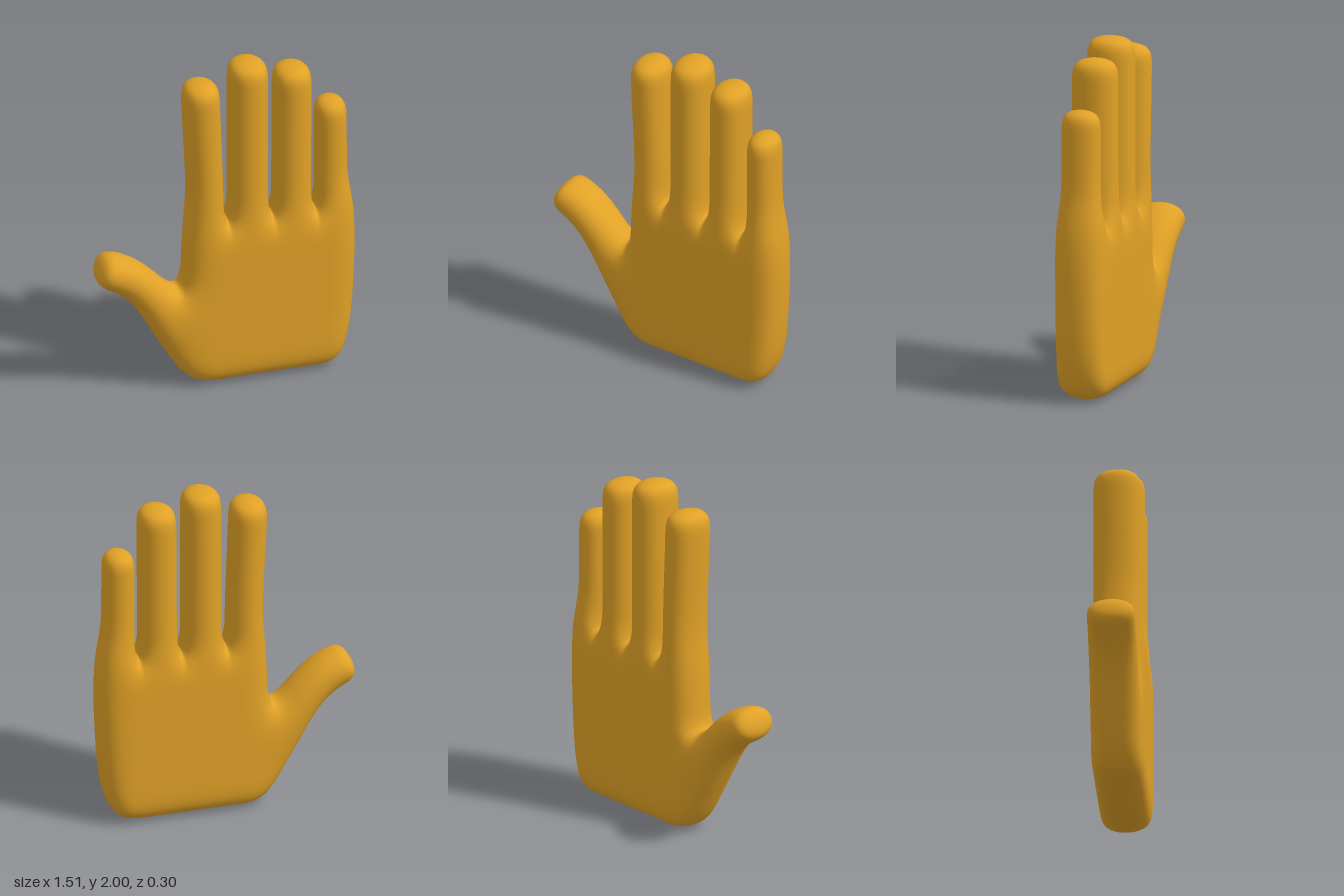
import * as THREE from 'three';

// One round of Catmull-Clark smoothing on a closed quad cage; each face keeps its part name
function smooth({ points, faces }) {
  const count = points.length;
  const out = points.map(() => new THREE.Vector3());
  const faceSum = points.map(() => new THREE.Vector3());
  const edgeSum = points.map(() => new THREE.Vector3());
  const valence = new Array(count).fill(0);
  const edges = new Map();
  const edgeOf = (a, b) => edges.get(Math.min(a, b) * count + Math.max(a, b));

  const centres = faces.map(({ v, part }) => {
    const c = new THREE.Vector3();
    v.forEach((i) => c.addScaledVector(points[i], 0.25));
    v.forEach((a, k) => {
      const b = v[(k + 1) % 4];
      const key = Math.min(a, b) * count + Math.max(a, b);
      if (!edges.has(key)) edges.set(key, { a, b, sum: new THREE.Vector3() });
      edges.get(key).sum.add(c);
      faceSum[a].add(c);
      valence[a]++;
    });
    return out.push(c) - 1;
  });

  for (const e of edges.values()) {
    const ends = points[e.a].clone().add(points[e.b]);
    edgeSum[e.a].addScaledVector(ends, 0.5);
    edgeSum[e.b].addScaledVector(ends, 0.5);
    e.id = out.push(ends.add(e.sum).multiplyScalar(0.25)) - 1;
  }

  points.forEach((p, i) => {
    const n = valence[i];
    out[i].copy(p).multiplyScalar((n - 3) / n)
      .addScaledVector(faceSum[i], 1 / (n * n))
      .addScaledVector(edgeSum[i], 2 / (n * n));
  });

  const next = [];
  faces.forEach(({ v, part }, f) => v.forEach((a, k) => {
    const after = edgeOf(a, v[(k + 1) % 4]).id;
    const before = edgeOf(v[(k + 3) % 4], a).id;
    next.push({ v: [a, after, centres[f], before], part });
  }));
  return { points: out, faces: next };
}

// Flat outline of quads, given thickness and closed with side walls
function buildCage() {
  const points = [];
  const quads = [];
  const node = (x, y, z = 0.15) => {
    points.push(new THREE.Vector3(x, y, z), new THREE.Vector3(x, y, -z));
    return points.length / 2 - 1;
  };
  const quad = (part, ...v) => quads.push({ part, v });

  // Palm: rows from wrist to knuckles, narrow columns lie below the finger gaps
  const inner = [-0.006, 0.01, 0.255, 0.273, 0.507, 0.522];
  const rows = [
    // left x, left y, inner y, right x, right y
    [-0.22, -0.015, -0.008, 0.65, 0.01],
    [-0.365, 0.2, 0.2, 0.735, 0.2],
    [-0.262, 0.575, 0.575, 0.757, 0.575],
    [-0.257, 0.77, 0.79, 0.765, 0.79],
    [-0.243, 1.02, 1.02, 0.755, 1.02],
  ].map(([lx, ly, y, rx, ry]) => [node(lx, ly), ...inner.map((x) => node(x, y)), node(rx, ry)]);
  for (let r = 0; r < rows.length - 1; r++) {
    for (let c = 0; c < 7; c++) {
      quad('palm', rows[r][c], rows[r][c + 1], rows[r + 1][c + 1], rows[r + 1][c]);
    }
  }

  // Fingers: base and tip side positions, cage top and half depth
  const knuckles = rows[4];
  [
    ['indexFinger', [-0.224, -0.006], [-0.255, -0.027], 1.912, 0.146],
    ['middleFinger', [0.011, 0.255], [0.012, 0.257], 2.013, 0.148],
    ['ringFinger', [0.273, 0.507], [0.276, 0.511], 1.942, 0.143],
    ['littleFinger', [0.522, 0.718], [0.522, 0.715], 1.692, 0.121],
  ].forEach(([part, base, tip, top, depth], i) => {
    let [l, r] = [knuckles[i * 2], knuckles[i * 2 + 1]];
    const low = 1.18;
    const high = top - 0.14;
    [[low, 0], [(low + high) / 2, 0.45], [high, 1], [top, 1]].forEach(([y, t]) => {
      const [nl, nr] = [0, 1].map((s) => node(THREE.MathUtils.lerp(base[s], tip[s], t), y, depth));
      quad(part, l, r, nr, nl);
      [l, r] = [nl, nr];
    });
  });

  // Thumb: upper and lower edge of each section, growing out of the palm's side
  let [upper, lower] = [rows[2][0], rows[1][0]];
  [
    [-0.395, 0.72, -0.505, 0.48, 0.15],
    [-0.51, 0.82, -0.6, 0.605, 0.148],
    [-0.62, 0.875, -0.69, 0.655, 0.147],
    [-0.715, 0.88, -0.785, 0.72, 0.145],
  ].forEach(([ux, uy, lx, ly, depth]) => {
    const u = node(ux, uy, depth);
    const l = node(lx, ly, depth);
    quad('thumb', upper, u, l, lower);
    [upper, lower] = [u, l];
  });

  // Front, back, and a wall along every edge that has only one quad
  const faces = [];
  const used = new Set();
  quads.forEach(({ v }) => v.forEach((a, k) => used.add(`${a},${v[(k + 1) % 4]}`)));
  quads.forEach(({ v, part }) => {
    faces.push({ part, v: v.map((i) => 2 * i) });
    faces.push({ part, v: v.map((i) => 2 * i + 1).reverse() });
    v.forEach((a, k) => {
      const b = v[(k + 1) % 4];
      if (!used.has(`${b},${a}`)) faces.push({ part, v: [2 * b, 2 * a, 2 * a + 1, 2 * b + 1] });
    });
  });
  return { points, faces };
}

export function createModel() {
  const skin = new THREE.MeshStandardMaterial({ color: 0xe0a126 });
  skin.name = 'golden skin';

  let cage = buildCage();
  for (let i = 0; i < 3; i++) cage = smooth(cage);

  // Triangles sorted by part
  const parts = {};
  cage.faces.forEach(({ v: [a, b, c, d], part }) => {
    (parts[part] ??= []).push(a, b, c, a, c, d);
  });

  // Normals are shared by all parts so the skin has no seams
  const whole = new THREE.BufferGeometry().setFromPoints(cage.points);
  whole.setIndex(Object.values(parts).flat());
  whole.computeVertexNormals();

  const hand = new THREE.Group();
  hand.name = 'hand';
  for (const [name, index] of Object.entries(parts)) {
    const geometry = new THREE.BufferGeometry();
    geometry.setAttribute('position', whole.attributes.position);
    geometry.setAttribute('normal', whole.attributes.normal);
    geometry.setIndex(index);
    const mesh = new THREE.Mesh(geometry, skin);
    mesh.name = name;
    hand.add(mesh);
  }
  return hand;
}
